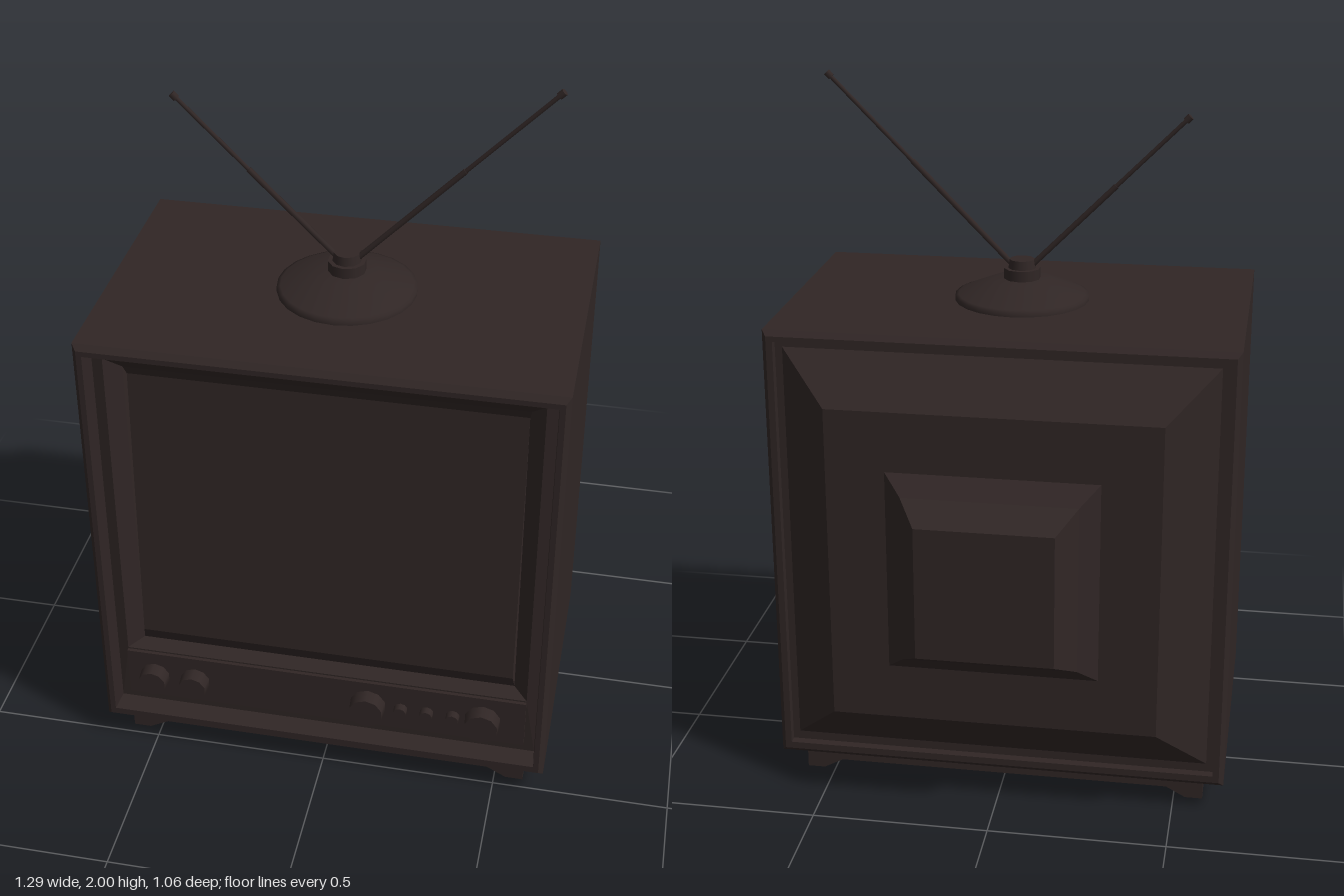
import * as THREE from 'three';

const casing = new THREE.MeshStandardMaterial({ color: 0x302625 });
casing.name = 'dark brown casing';

// Skin over rectangular rings [halfWidth, yLow, yHigh, zLow, zHigh = zLow]; the last ring may be capped.
function rectLoft(rings, { flip = false, cap = true } = {}) {
  const loops = rings.map(([w, y0, y1, z0, z1 = z0]) => [
    [-w, y0, z0], [w, y0, z0], [w, y1, z1], [-w, y1, z1],
  ]);
  const pos = [];
  const quad = (a, b, c, d) => {
    const order = flip ? [a, c, b, a, d, c] : [a, b, c, a, c, d];
    for (const p of order) pos.push(...p);
  };
  for (let r = 0; r < loops.length - 1; r++) {
    const a = loops[r], b = loops[r + 1];
    for (let i = 0; i < 4; i++) {
      const j = (i + 1) % 4;
      quad(a[i], a[j], b[j], b[i]);
    }
  }
  if (cap) quad(...loops[loops.length - 1]);
  const geo = new THREE.BufferGeometry();
  geo.setAttribute('position', new THREE.Float32BufferAttribute(pos, 3));
  geo.computeVertexNormals();
  return geo;
}

export function createModel() {
  const model = new THREE.Group();
  model.name = 'television';

  const add = (name, geo, x = 0, y = 0, z = 0, parent = model) => {
    const mesh = new THREE.Mesh(geo, casing);
    mesh.name = name;
    mesh.position.set(x, y, z);
    parent.add(mesh);
    return mesh;
  };

  // Cabinet walls, bevelled front rim and recessed front face
  add('cabinet', rectLoft([
    [0.63, 0.095, 1.355, -0.305],
    [0.643, 0.08, 1.37, -0.29],
    [0.643, 0.08, 1.37, 0.515],
    [0.63, 0.095, 1.355, 0.53],
    [0.615, 0.115, 1.34, 0.53],
    [0.61, 0.118, 1.336, 0.47],
    [0.58, 0.31, 1.305, 0.475],
  ], { cap: false }));

  // Sloping surround and picture tube
  add('screenSurround', rectLoft([
    [0.58, 0.31, 1.305, 0.475],
    [0.54, 0.325, 1.26, 0.435],
  ], { cap: false }));
  add('screen', rectLoft([
    [0.54, 0.325, 1.26, 0.435],
    [0.535, 0.365, 1.23, 0.45, 0.42],
  ]));

  // Back rim, sloping rear cover and tube housing
  add('backCover', rectLoft([
    [0.63, 0.095, 1.355, -0.305],
    [0.612, 0.115, 1.34, -0.305],
    [0.612, 0.115, 1.34, -0.28],
    [0.592, 0.14, 1.32, -0.28],
    [0.455, 0.28, 1.19, -0.395],
  ], { flip: true }));
  add('tubeHousing', rectLoft([
    [0.292, 0.44, 1.02, -0.395],
    [0.24, 0.49, 0.97, -0.445],
    [0.188, 0.54, 0.92, -0.53],
  ], { flip: true }));

  // Control strip with its knobs
  add('controlPanel', new THREE.BoxGeometry(0.58 * 2, 0.155, 0.04), 0, 0.228, 0.465);
  const knobs = [
    [-0.5, 0.043], [-0.38, 0.043], [0.13, 0.052], [0.46, 0.052],
    [0.225, 0.02], [0.3, 0.02], [0.375, 0.02],
  ];
  for (const [x, r] of knobs) {
    const depth = r > 0.03 ? 0.04 : 0.022;
    const geo = new THREE.CylinderGeometry(r * 0.93, r, depth, 10).rotateX(Math.PI / 2);
    add('knob', geo.toNonIndexed(), x, 0.225, 0.485 + depth / 2);
  }

  // Underside and skirt, cut away between the corner feet
  add('underside', new THREE.BoxGeometry(1.28, 0.01, 0.8), 0, 0.086, 0.112);
  const skirt = (half) => {
    const s = new THREE.Shape();
    s.moveTo(-half, 0.085);
    s.lineTo(-half, 0);
    s.lineTo(-half + 0.05, 0);
    s.lineTo(-half + 0.105, 0.03);
    s.lineTo(half - 0.105, 0.03);
    s.lineTo(half - 0.05, 0);
    s.lineTo(half, 0);
    s.lineTo(half, 0.085);
    return new THREE.ExtrudeGeometry(s, { depth: 0.05, bevelEnabled: false }).translate(0, 0, -0.05);
  };
  const base = new THREE.Group();
  base.name = 'base';
  base.position.z = 0.115;
  model.add(base);
  for (const side of [0, 1]) {
    add(side ? 'backSkirt' : 'frontSkirt', skirt(0.583), 0, 0, side ? -0.355 : 0.355, base).rotation.y = side * Math.PI;
    const s = side ? -1 : 1;
    add(side ? 'rightSkirt' : 'leftSkirt', skirt(0.354), s * 0.583, 0, 0, base).rotation.y = s * Math.PI / 2;
  }

  // Antenna stand
  const antenna = new THREE.Group();
  antenna.name = 'antenna';
  antenna.position.set(-0.003, 0, 0.11);
  model.add(antenna);
  const dome = [[0.19, 1.368], [0.19, 1.383], [0.18, 1.387], [0.085, 1.428], [0, 1.432]]
    .map(([r, y]) => new THREE.Vector2(r, y));
  add('antennaStand', new THREE.LatheGeometry(dome, 24), 0, 0, 0, antenna);
  add('antennaCollar', new THREE.CylinderGeometry(0.052, 0.052, 0.03, 10), 0, 1.445, 0, antenna);
  add('antennaHub', new THREE.CylinderGeometry(0.036, 0.04, 0.028, 10), 0, 1.471, 0, antenna);

  // Rods with thicker lower sections and small tips
  const rod = (name, from, to) => {
    const a = new THREE.Vector3(...from), b = new THREE.Vector3(...to);
    const len = a.distanceTo(b);
    const group = new THREE.Group();
    group.name = name;
    group.position.copy(a);
    group.quaternion.setFromUnitVectors(new THREE.Vector3(0, 1, 0), b.clone().sub(a).normalize());
    antenna.add(group);
    add('lowerRod', new THREE.CylinderGeometry(0.008, 0.008, len * 0.55, 8), 0, len * 0.275, 0, group);
    add('upperRod', new THREE.CylinderGeometry(0.006, 0.006, len * 0.47, 8), 0, len * 0.765, 0, group);
    add('rodTip', new THREE.CylinderGeometry(0.01, 0.01, 0.018, 8), 0, len - 0.009, 0, group);
  };
  rod('leftRod', [0.02, 1.46, 0], [0.547, 1.993, 0]);
  rod('rightRod', [-0.02, 1.46, 0], [-0.46, 1.9, 0]);

  return model;
}
